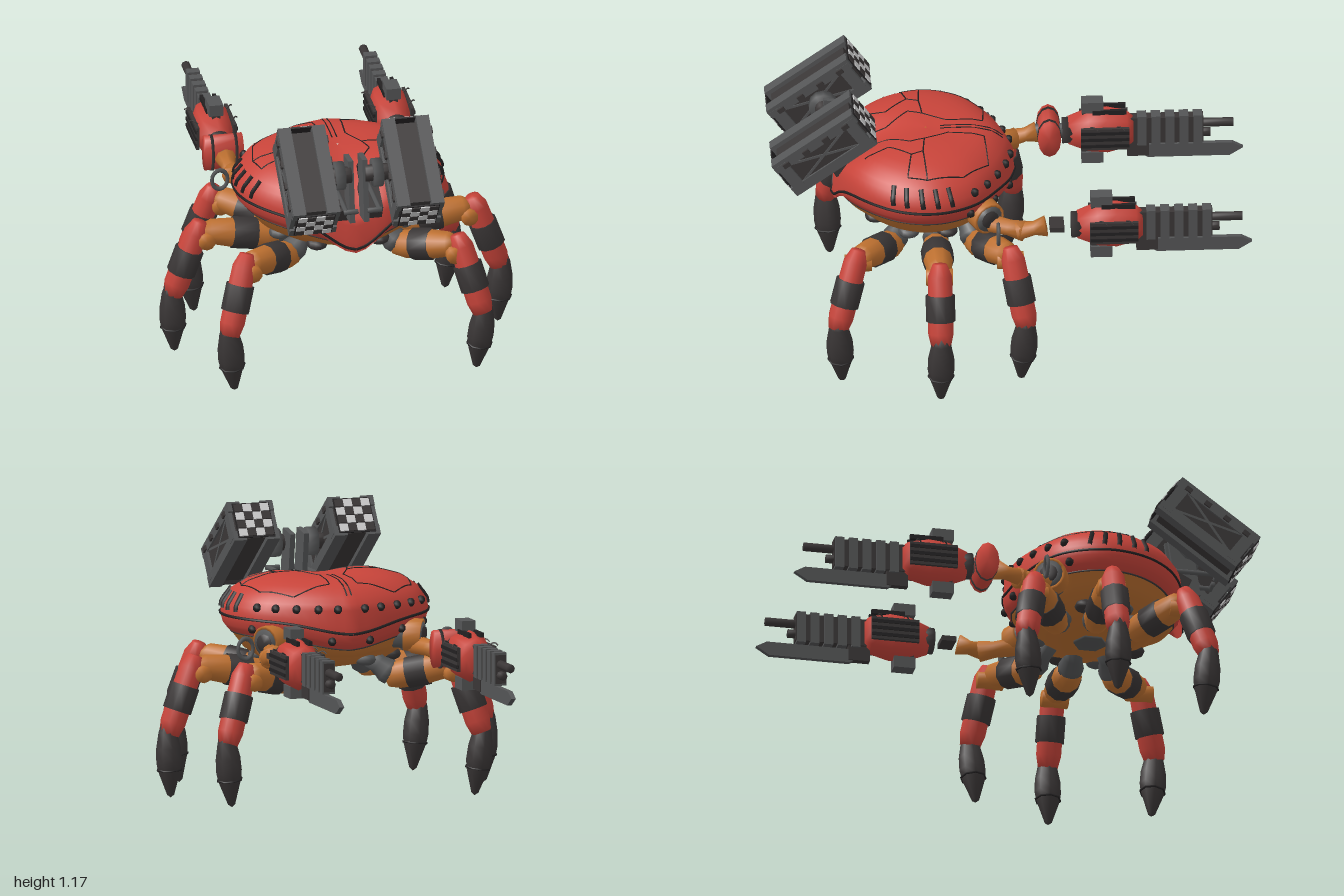
import * as THREE from 'three';

const V = (x, y, z) => new THREE.Vector3(x, y, z);

export function createModel() {
  const root = new THREE.Group();
  root.name = 'crabWalker';
  const mat = (name, color) => {
    const m = new THREE.MeshStandardMaterial({ color });
    m.name = name;
    return m;
  };
  const red = mat('red', 0xc8443a), orange = mat('orange', 0xbd7030), dark = mat('charcoal', 0x3a3636),
    grey = mat('steel', 0x545556), black = mat('black', 0x232122), white = mat('white', 0xcfcfcf);

  const add = (parent, name, geo, m, x = 0, y = 0, z = 0) => {
    const mesh = new THREE.Mesh(geo, m);
    mesh.name = name;
    mesh.position.set(x, y, z);
    parent.add(mesh);
    return mesh;
  };
  const box = (parent, name, m, w, h, d, x, y, z) => add(parent, name, new THREE.BoxGeometry(w, h, d), m, x, y, z);
  const group = (parent, name) => {
    const g = new THREE.Group();
    g.name = name;
    parent.add(g);
    return g;
  };
  // Turned part from a to b; profile is a list of [radius, fraction of length]
  const limb = (parent, name, m, a, b, profile, sides = 12) => {
    const dir = b.clone().sub(a), len = dir.length();
    const geo = new THREE.LatheGeometry(profile.map(([r, t]) => new THREE.Vector2(r, t * len)), sides);
    const mesh = add(parent, name, geo, m, a.x, a.y, a.z);
    mesh.quaternion.setFromUnitVectors(V(0, 1, 0), dir.normalize());
    return mesh;
  };
  const rod = (parent, name, m, a, b, r, sides) => limb(parent, name, m, a, b, [[0, 0], [r, 0], [r, 1], [0, 1]], sides);
  const tube = (parent, name, m, pts, r, n = 24) =>
    add(parent, name, new THREE.TubeGeometry(new THREE.CatmullRomCurve3(pts, false, 'centripetal'), n, r, 5), m);

  // Body surface: plan outline swept through a profile of [scale, height]
  const half = new THREE.CatmullRomCurve3([[0, -.03], [.12, 0], [.25, .06], [.36, .14], [.42, .24], [.44, .34],
    [.42, .45], [.37, .54], [.28, .63], [.15, .7], [0, .73]].map(([x, z]) => V(x, 0, z)));
  const profile = [[.01, .93], [.3, .928], [.55, .915], [.75, .89], [.9, .848], [.98, .8], [1, .755], [.975, .715],
    [.93, .69], [.9, .68], [.78, .61], [.6, .56], [.35, .535], [.01, .53]];
  const CZ = .34;
  // Centre valley deepening to the front, lower edge dipping at both ends
  const shape = (x, z, y, t) => {
    const front = THREE.MathUtils.smoothstep(z, .36, .7), ends = Math.min(1, Math.abs(z - CZ) / .38);
    if (t < 7) y -= (.02 * THREE.MathUtils.smoothstep(z, .05, .3) + .065 * front) * Math.exp(-((x / .13) ** 2));
    if (t > 5 && t < 10) y -= .055 * ends * Math.exp(-((x / .22) ** 2));
    return V(x, y, z);
  };
  // u runs 0..1 from back to front; side picks the half
  const bodyPoint = (u, t, side = 1) => {
    const p = half.getPoint(u), k = Math.min(Math.floor(t), profile.length - 2), w = t - k;
    const f = THREE.MathUtils.lerp(profile[k][0], profile[k + 1][0], w);
    const y = THREE.MathUtils.lerp(profile[k][1], profile[k + 1][1], w);
    return shape(p.x * f * side, CZ + (p.z - CZ) * f, y, t);
  };
  const topPoint = (x, z) => {
    let best = 0, err = 9;
    const ang = Math.atan2(Math.abs(x), z - CZ);
    for (let u = 0; u <= 1; u += .005) {
      const p = half.getPoint(u), e = Math.abs(Math.atan2(p.x, p.z - CZ) - ang);
      if (e < err) { err = e; best = u; }
    }
    const p = half.getPoint(best), f = Math.hypot(x, z - CZ) / Math.hypot(p.x, p.z - CZ);
    let k = 0;
    while (k < 5 && profile[k + 1][0] < f) k++;
    const w = (f - profile[k][0]) / (profile[k + 1][0] - profile[k][0]);
    return shape(x, z, THREE.MathUtils.lerp(profile[k][1], profile[k + 1][1], w), 0);
  };
  const loft = (t0, t1, step) => {
    const N = 72, pos = [], idx = [];
    let rows = 0;
    for (let t = t0; t <= t1 + 1e-6; t += step, rows++)
      for (let i = 0; i < N; i++) {
        const u = i * 2 / N;
        pos.push(...bodyPoint(u <= 1 ? u : 2 - u, t, u <= 1 ? 1 : -1).toArray());
      }
    for (let r = 0; r < rows - 1; r++)
      for (let i = 0; i < N; i++) {
        const a = r * N + i, b = r * N + (i + 1) % N;
        idx.push(a, b, a + N, b, b + N, a + N);
      }
    const g = new THREE.BufferGeometry();
    g.setAttribute('position', new THREE.Float32BufferAttribute(pos, 3));
    g.setIndex(idx);
    g.computeVertexNormals();
    return g;
  };
  const body = group(root, 'body');
  add(body, 'shell', loft(0, 9, .5), red);
  add(body, 'belly', loft(9, 13, .5), orange);
  rod(body, 'bellyHub', grey, V(0, .522, .34), V(0, .54, .34), .07, 6);

  // Panel seams on the shell, one half, as [x, z]
  const seams = [[[.06, .1], [.22, .09], [.33, .2], [.36, .35], [.2, .36], [.1, .35], [.05, .25], [.06, .1]],
    [[.1, .35], [.12, .41], [.05, .5], [.04, .62]], [[.2, .36], [.22, .41], [.34, .43], [.36, .35]],
    [[.22, .41], [.14, .5], [.17, .6]], [[.01, .02], [.01, .28]]];

  for (const s of [1, -1]) {
    for (const line of seams)
      for (let i = 0; i < line.length - 1; i++) {
        const [a, b] = [line[i], line[i + 1]], pts = [];
        for (let k = 0; k <= 6; k++)
          pts.push(topPoint(s * (a[0] + (b[0] - a[0]) * k / 6), a[1] + (b[1] - a[1]) * k / 6));
        tube(body, 'panelSeam', black, pts, .003, 8);
      }
    const along = (t, n) => Array.from({ length: n + 1 }, (_, i) => bodyPoint(i / n, t, s));
    tube(body, 'rimSeam', black, along(6, 40), .006, 80);
    tube(body, 'lowerRimSeam', dark, along(9, 40), .004, 80);
    // Side gills, rear studs and belly ports
    for (let i = 0; i < 5; i++) {
      const u = .41 + i * .06;
      tube(body, 'gill', black, [4, 4.5, 5, 5.5].map(t => bodyPoint(u + (5 - t) * .008, t, s)), .011, 8);
    }
    for (let i = 0; i < 5; i++) {
      const a = bodyPoint(.05 + i * .065, 4.9, s), b = bodyPoint(.07 + i * .065, 7, s);
      for (const p of i % 2 ? [a] : [a, b])
        add(body, 'rearStud', new THREE.SphereGeometry(.019, 6, 5), black, p.x, p.y, p.z);
    }
    for (let i = 0; i < 4; i++) {
      const p = bodyPoint(.14 + i * .24, 10.8, s);
      add(body, 'bellyPort', new THREE.SphereGeometry(.045, 10, 6), i % 2 ? dark : grey, p.x, p.y, p.z).scale.y = .6;
    }
    // Shoulder socket
    rod(body, 'socket', grey, V(s * .24, .67, .15), V(s * .345, .665, .09), .058, 16);
    limb(body, 'socketRing', orange, V(s * .28, .67, .125), V(s * .342, .665, .092), [[.058, 0], [.07, 0], [.07, 1], [.058, 1], [.058, 0]], 16);
    rod(body, 'socketCore', dark, V(s * .33, .666, .1), V(s * .352, .664, .086), .038, 12);

    // Legs: hip, knee, ankle, tip
    const legs = [[V(.21, .49, .47), V(.44, .55, .64), V(.535, .27, .73), V(.51, .005, .71)],
      [V(.23, .5, .31), V(.57, .55, .31), V(.69, .27, .31), V(.682, .005, .31)],
      [V(.21, .49, .16), V(.45, .55, .01), V(.555, .27, -.05), V(.53, .005, -.03)]];
    for (const pts of legs) {
      const [hip, knee, ankle, tip] = pts.map(p => V(p.x * s, p.y, p.z));
      const leg = group(root, 'leg');
      const mountPoint = V(hip.x * .65, .58, .31 + (hip.z - .31) * .75);
      limb(leg, 'hipJoint', grey, mountPoint, hip.clone().lerp(knee, .1), [[0, 0], [.045, .05], [.04, .45], [.055, .75], [.05, .95], [0, 1]]);
      limb(leg, 'thigh', orange, hip, knee, [[0, 0], [.045, .02], [.06, .2], [.062, .6], [.052, .9], [.03, 1], [0, 1]], 10);
      limb(leg, 'thighBand', dark, hip.clone().lerp(knee, .32), hip.clone().lerp(knee, .62), [[.05, 0], [.067, 0], [.067, 1], [.05, 1]], 10);
      rod(leg, 'kneePin', orange, knee.clone().add(V(-s * .015, -.03, -.055)), knee.clone().add(V(-s * .015, -.03, .055)), .036, 10);
      const top = knee.clone().add(V(s * .005, .045, 0));
      limb(leg, 'shin', red, top, ankle, [[0, 0], [.03, 0], [.05, .15], [.053, .6], [.053, .85], [.042, 1], [0, 1]], 10);
      limb(leg, 'shinBand', dark, top.clone().lerp(ankle, .38), top.clone().lerp(ankle, .7), [[.045, 0], [.061, 0], [.061, 1], [.045, 1]], 10);
      const footTop = ankle.clone().add(V(s * .008, .05, 0));
      limb(leg, 'foot', dark, tip, footTop, [[0, 0], [.016, .04], [.05, .36], [.056, .48], [.054, .66], [.04, .88], [.024, 1], [0, 1]], 8);
      limb(leg, 'footSeam', black, tip.clone().lerp(footTop, .36), tip.clone().lerp(footTop, .38), [[.05, 0], [.055, 0], [.056, 1], [.05, 1]], 8);
    }

    // Gun arm reaching backwards
    const arm = group(root, 'gunArm'), X = s * .375;
    limb(arm, 'upperArm', orange, V(s * .31, .63, .1), V(s * .37, .62, -.05), [[0, 0], [.04, 0], [.035, .6], [.045, 1], [0, 1]], 10);
    limb(arm, 'forearm', orange, V(s * .37, .62, -.02), V(X, .645, -.14), [[0, 0], [.04, 0], [.03, .6], [.045, 1], [0, 1]], 8);
    const loop = add(arm, 'armPipe', new THREE.TorusGeometry(.033, .008, 6, 16), grey, s * .44, .65, .06);
    loop.scale.y = 1.3;
    // One wrist is a plated drum, the other a bare coupling
    if (s < 0) {
      const drum = group(arm, 'wrist');
      drum.position.set(X, .65, -.19);
      drum.scale.y = 1.65;
      rod(drum, 'wristDrum', red, V(-.08, 0, 0), V(.08, 0, 0), .048, 12);
      for (const x of [-.05, .05]) rod(drum, 'wristBand', dark, V(x - .006, 0, 0), V(x + .006, 0, 0), .05, 12);
      rod(arm, 'wristAxle', grey, V(X, .65, -.13), V(X, .65, -.29), .03, 10);
    } else {
      box(arm, 'wristCoupling', dark, .09, .022, .06, X, .65, -.185);
    }
    rod(arm, 'gunCollar', dark, V(X, .65, -.245), V(X, .65, -.285), .055, 14);
    const gun = limb(arm, 'gunBody', red, V(X, .65, -.27), V(X, .65, -.54),
      [[0, 0], [.065, 0], [.1, .3], [.108, .6], [.085, .9], [.06, 1], [0, 1]], 8);
    gun.scale.x = .8;
    box(arm, 'gunClamp', dark, .035, .27, .085, X, .65, -.37);
    for (const y of [.53, .77]) box(arm, 'gunClampCap', grey, .06, .05, .09, X, y, -.37);
    for (const k of [-1, 1]) {
      box(arm, 'gunSidePlate', dark, .014, .1, .2, X + k * .079, .65, -.42);
      for (let i = 0; i < 3; i++) box(arm, 'gunVent', black, .012, .014, .2, X + k * .084, .62 + i * .03, -.42);
      box(arm, 'gunSlit', black, .014, .02, .14, X + k * .027, .747, -.44);
      for (const z of [-.36, -.47])
        tube(arm, 'gunHook', dark, [V(X + k * .07, .7, z), V(X + k * .09, .71, z - .015), V(X + k * .1, .7, z - .03)], .003, 6);
    }
    // Barrel and blade
    box(arm, 'barrelHousing', dark, .045, .12, .31, X, .65, -.675);
    for (let i = 0; i < 5; i++) box(arm, 'barrelRib', grey, .054, .138, .038, X, .65, -.575 - i * .058);
    for (const y of [.625, .67]) rod(arm, 'barrel', dark, V(X, y, -.8), V(X, y, y > .65 ? -.955 : -.86), .019, 8);
    const blade = new THREE.Shape([[.57, .575], [.95, .575], [.995, .55], [.94, .515], [.6, .515], [.56, .54]].map(p => new THREE.Vector2(...p)));
    const bladeMesh = add(arm, 'underBlade', new THREE.ExtrudeGeometry(blade, { depth: .02, bevelEnabled: false }), grey, X - .01, 0, 0);
    bladeMesh.rotation.y = Math.PI / 2;
    box(arm, 'bladeMount', dark, .03, .09, .09, X, .57, -.56);

    // Launcher pod
    const pod = group(root, 'launcherPod');
    pod.position.set(s * .22, .98, .775);
    pod.rotation.x = .63;
    box(pod, 'podCore', dark, .18, .145, .37, 0, 0, 0);
    for (const a of [-1, 1]) {
      for (const b of [-1, 1]) box(pod, 'podRail', grey, .055, .045, .41, a * .072, b * .068, 0);
      for (const z of [-.17, .17]) box(pod, 'podPost', grey, .018, .15, .05, a * .092, 0, z);
      for (const r of [-.34, .34]) box(pod, 'podBrace', grey, .008, .01, .3, a * .09, 0, 0).rotation.x = r;
      for (let i = 0; i < 4; i++) box(pod, 'podBolt', dark, .015, .02, .03, a * .101, .06, -.15 + i * .1);
      // Missile cells at both ends
      box(pod, 'cellFace', black, .16, .16, .006, 0, 0, a * .206);
      for (let i = 0; i < 4; i++)
        for (let j = 0; j < 4; j++)
          box(pod, 'missileCell', (i + j) % 2 ? white : dark, .036, .034, .006, -.057 + i * .038, -.057 + j * .038, a * .211);
    }
    // Pod mount
    const mount = group(root, 'podMount');
    rod(mount, 'mountAxle', dark, V(s * .03, .98, .76), V(s * .14, .98, .76), .035, 12);
    rod(mount, 'mountDrum', grey, V(s * .06, .98, .76), V(s * .1, .98, .76), .06, 12);
    box(mount, 'mountPlate', grey, .022, .27, .1, s * .03, .9, .73).rotation.x = -.15;
    box(mount, 'mountFoot', dark, .08, .07, .14, s * .07, .81, .67).rotation.x = .5;
    rod(mount, 'mountHook', grey, V(s * .07, .86, .62), V(s * .07, .86, .87), .011, 6);
    rod(mount, 'mountHookEnd', grey, V(s * .02, .86, .865), V(s * .08, .86, .865), .011, 6);
  }
  return root;
}
